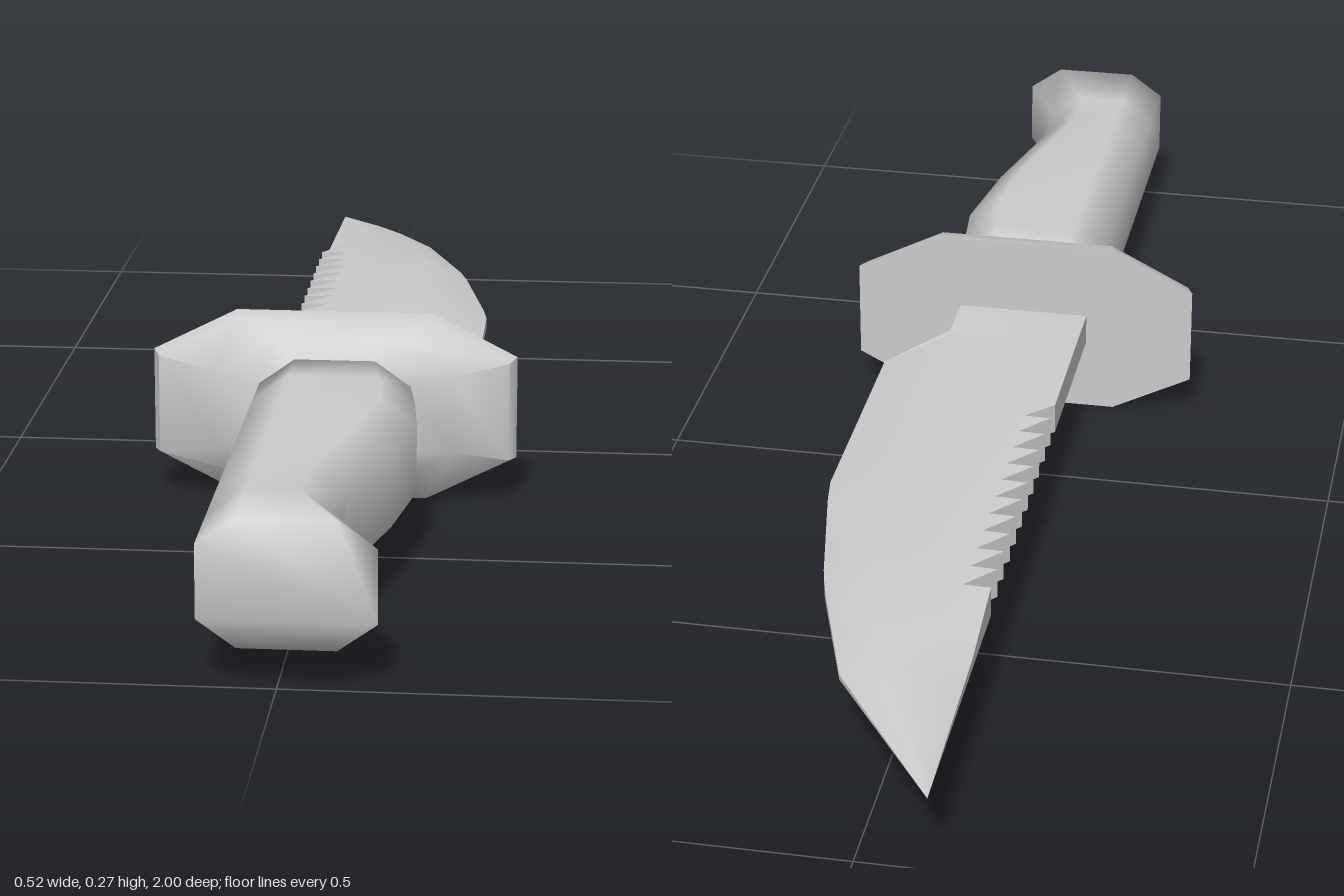
import * as THREE from 'three';
import { toCreasedNormals } from 'three/addons/utils/BufferGeometryUtils.js';

// Skin rings (counter-clockwise seen from +z, ordered by rising z) and cap both ends
function loft(rings) {
  const n = rings[0].length, last = (rings.length - 1) * n, idx = [];
  for (let i = 0; i < rings.length - 1; i++) {
    for (let j = 0; j < n; j++) {
      const a = i * n + j, b = i * n + (j + 1) % n;
      idx.push(a, b, b + n, a, b + n, a + n);
    }
  }
  for (let j = 1; j < n - 1; j++) {
    idx.push(0, j + 1, j, last, last + j, last + j + 1);
  }
  const geo = new THREE.BufferGeometry();
  geo.setAttribute('position', new THREE.Float32BufferAttribute(rings.flat(2), 3));
  geo.setIndex(idx);
  geo.computeVertexNormals();
  return geo;
}

// Octagon: a rectangle with corners cut by cx, cy
function octagon(z, x0, x1, y0, y1, cx, cy) {
  return [
    [x1, y0 + cy, z], [x1, y1 - cy, z], [x1 - cx, y1, z], [x0 + cx, y1, z],
    [x0, y1 - cy, z], [x0, y0 + cy, z], [x0 + cx, y0, z], [x1 - cx, y0, z],
  ];
}

// Linear interpolation through [z, value] keys with falling z
function along(keys, z) {
  for (let i = 1; i < keys.length; i++) {
    const [z0, v0] = keys[i - 1], [z1, v1] = keys[i];
    if (z >= z1) return THREE.MathUtils.lerp(v0, v1, (z0 - z) / (z0 - z1));
  }
  return keys[keys.length - 1][1];
}

const SPINE = -0.097, NOTCH = -0.057, BOTTOM = 0.11;
const edgeX = [[0.24, 0.1], [0.14, 0.1], [0.08, 0.19], [-0.3, 0.19], [-0.55, 0.14], [-0.76, 0.07], [-1, SPINE]];
const edgeY = [[0.24, 0.156], [0.14, 0.156], [0.08, 0.125], [-0.55, 0.125], [-1, BOTTOM]];
const ridgeX = [[0.24, 0.09], [0.14, 0.09], [-0.3, 0.1], [-0.55, 0.075], [-0.76, 0.02], [-1, SPINE]];
const topY = [[0.24, 0.156], [-0.55, 0.156], [-0.7, 0.147], [-0.85, 0.131], [-1, BOTTOM]];
const clipX = [[0.24, -0.05], [-0.57, -0.05], [-0.76, -0.03], [-1, SPINE]];
const clipY = [[0.24, 0.156], [-0.57, 0.154], [-0.7, 0.125], [-1, BOTTOM]];

// Blade section: flat underside, bevelled cutting edge, clipped spine
function bladeRing(z, spine) {
  const e = along(edgeX, z), top = along(topY, z);
  return [
    [spine, BOTTOM, z], [e, BOTTOM, z], [e, along(edgeY, z), z],
    [along(ridgeX, z), top, z], [along(clipX, z), top, z], [spine, along(clipY, z), z],
  ];
}

export function createModel() {
  const group = new THREE.Group();
  const material = new THREE.MeshStandardMaterial({ color: 0xcccccc });
  const add = (name, geo) => {
    const mesh = new THREE.Mesh(geo, material);
    mesh.name = name;
    group.add(mesh);
  };

  // Handle: straight back, finger swell and flared butt
  const grip = [[0.3, 0.113], [0.38, 0.125], [0.48, 0.135], [0.63, 0.112], [0.8, 0.07], [0.89, 0.07], [1, 0.125]];
  add('handle', loft(grip.map(([z, x]) => octagon(z, -0.1, x, 0.052, 0.221, 0.05, 0.036))));

  // Guard: wide octagonal plate flaring out of the handle
  add('guard', toCreasedNormals(loft([
    octagon(0.225, -0.26, 0.26, 0, 0.271, 0.12, 0.061),
    octagon(0.25, -0.25, 0.25, 0.004, 0.267, 0.118, 0.06),
    octagon(0.272, -0.165, 0.17, 0.03, 0.241, 0.08, 0.05),
    octagon(0.303, -0.1, 0.113, 0.052, 0.221, 0.05, 0.036),
  ]), Math.PI / 3.4));

  // Blade: tang, saw teeth along the spine, then the clipped point
  const stations = [[0.24, SPINE], [0.14, SPINE], [0.08, SPINE], [-0.06, SPINE]];
  const teeth = 10, pitch = 0.047;
  for (let i = 0; i <= teeth; i++) {
    const z = -0.1 - i * pitch;
    stations.push([z, NOTCH], [z, SPINE]);
  }
  for (const z of [-0.63, -0.7, -0.76, -0.85, -0.93, -1]) stations.push([z, SPINE]);
  const rings = stations.reverse().map(([z, spine]) => bladeRing(z, spine));
  add('blade', toCreasedNormals(loft(rings), Math.PI / 6));

  return group;
}
